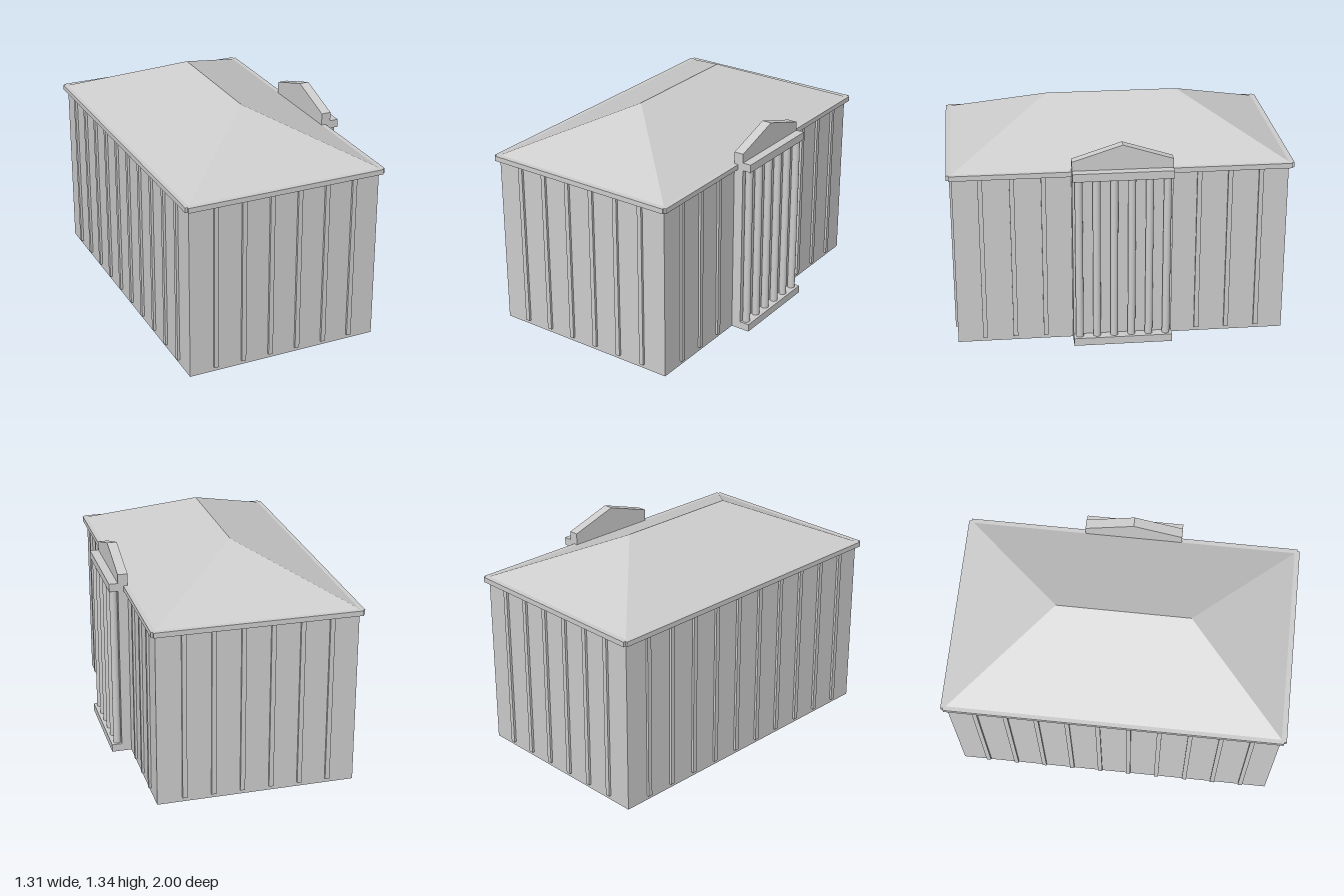
import * as THREE from 'three';

const X0 = -0.63, X1 = 0.538, CX = (X0 + X1) / 2, ZW = 0.97; // wall planes
const WALL_TOP = 1.04, EAVE_TOP = 1.07;

// Keep only the triangles whose normal passes the test (used for open shells)
function keepFaces(geo, test) {
  const g = geo.index ? geo.toNonIndexed() : geo;
  const p = g.attributes.position, n = g.attributes.normal;
  const pos = [], nor = [];
  for (let i = 0; i < p.count; i += 3) {
    if (!test(n.getY(i))) continue;
    for (let j = i; j < i + 3; j++) {
      pos.push(p.getX(j), p.getY(j), p.getZ(j));
      nor.push(n.getX(j), n.getY(j), n.getZ(j));
    }
  }
  const out = new THREE.BufferGeometry();
  out.setAttribute('position', new THREE.Float32BufferAttribute(pos, 3));
  out.setAttribute('normal', new THREE.Float32BufferAttribute(nor, 3));
  return out;
}

// Hipped roof: four eave corners rising to a ridge along z
function hipRoof(y0, y1, ridgeHalf) {
  const a = [X0, y0, ZW], b = [X1, y0, ZW], c = [X1, y0, -ZW], d = [X0, y0, -ZW];
  const f = [CX, y1, ridgeHalf], k = [CX, y1, -ridgeHalf];
  const tris = [a, b, f, b, c, k, b, k, f, c, d, k, d, a, f, d, f, k];
  const g = new THREE.BufferGeometry();
  g.setAttribute('position', new THREE.Float32BufferAttribute(tris.flat(), 3));
  g.computeVertexNormals();
  return g;
}

export function createModel() {
  const model = new THREE.Group();
  const stone = new THREE.MeshStandardMaterial({ color: 0xcccccc, side: THREE.DoubleSide });
  stone.name = 'stoneGrey';

  const add = (name, geo, parent = model) => {
    const m = new THREE.Mesh(geo, stone);
    m.name = name;
    parent.add(m);
    return m;
  };
  // Box given by its limits on each axis
  const box = (name, x0, x1, y0, y1, z0, z1, parent) =>
    add(name, new THREE.BoxGeometry(x1 - x0, y1 - y0, z1 - z0), parent)
      .position.set((x0 + x1) / 2, (y0 + y1) / 2, (z0 + z1) / 2);

  // Hollow wall shell, open below and under the roof
  const shell = new THREE.BoxGeometry(X1 - X0, EAVE_TOP, 2 * ZW);
  add('walls', keepFaces(shell, (ny) => Math.abs(ny) < 0.5)).position.set(CX, EAVE_TOP / 2, 0);

  // Eave band with notched corners around the wall tops
  const hx = (X1 - X0) / 2;
  const ox = hx + 0.026, ix = hx + 0.013, oz = 1, iz = 0.985;
  const band = new THREE.Shape([
    [ix, -oz], [ix, -iz], [ox, -iz], [ox, iz], [ix, iz], [ix, oz],
    [-ix, oz], [-ix, iz], [-ox, iz], [-ox, -iz], [-ix, -iz], [-ix, -oz],
  ].map(([x, z]) => new THREE.Vector2(x, z)));
  band.holes.push(new THREE.Path([[-hx, -ZW], [-hx, ZW], [hx, ZW], [hx, -ZW]]
    .map(([x, z]) => new THREE.Vector2(x, z))));
  const bandGeo = new THREE.ExtrudeGeometry(band, { depth: EAVE_TOP - WALL_TOP, bevelEnabled: false });
  bandGeo.rotateX(-Math.PI / 2);
  add('eaveBand', bandGeo).position.set(CX, WALL_TOP, 0);

  add('roof', hipRoof(EAVE_TOP, 1.338, 0.39));

  // Thin pilasters on all four walls
  const pilasters = new THREE.Group();
  pilasters.name = 'pilasters';
  model.add(pilasters);
  const w = 0.0135, out = 0.014, foot = 0.027;
  for (let i = 0; i < 6; i++) {
    const x = CX + (i - 2.5) * 0.17;
    box('frontPilaster', x - w, x + w, foot, WALL_TOP, ZW, ZW + out, pilasters);
    box('backPilaster', x - w, x + w, foot, WALL_TOP, -ZW - out, -ZW, pilasters);
  }
  for (let i = 0; i < 10; i++) {
    const z = (i - 4.5) * 0.18;
    box('leftPilaster', X1, X1 + out, foot, WALL_TOP, z - w, z + w, pilasters);
    box('rightPilaster', X0 - out, X0, foot, WALL_TOP, z - w, z + w, pilasters);
  }

  // Portico: gabled slab against the wall, open underneath
  const portico = new THREE.Group();
  portico.name = 'portico';
  model.add(portico);
  const H = 0.29, XS = 0.596;
  const gable = new THREE.Shape([[-H, 0], [H, 0], [H, 1.142], [0, 1.235], [-H, 1.142]]
    .map(([z, y]) => new THREE.Vector2(z, y)));
  const slab = new THREE.ExtrudeGeometry(gable, { depth: XS - X1, bevelEnabled: false });
  slab.rotateY(Math.PI / 2);
  add('gableSlab', keepFaces(slab, (ny) => ny > -0.5), portico).position.x = X1;

  box('plinth', XS, 0.656, 0, 0.047, -H, H, portico);
  box('entablature', XS, 0.648, WALL_TOP, 1.088, -H, H, portico);

  // Row of six round columns
  const shaft = new THREE.CylinderGeometry(0.0225, 0.0225, WALL_TOP - 0.047, 24);
  for (let i = 0; i < 6; i++) {
    add('column', shaft, portico).position.set(0.618, (WALL_TOP + 0.047) / 2, (i - 2.5) * 0.102);
  }
  return model;
}
